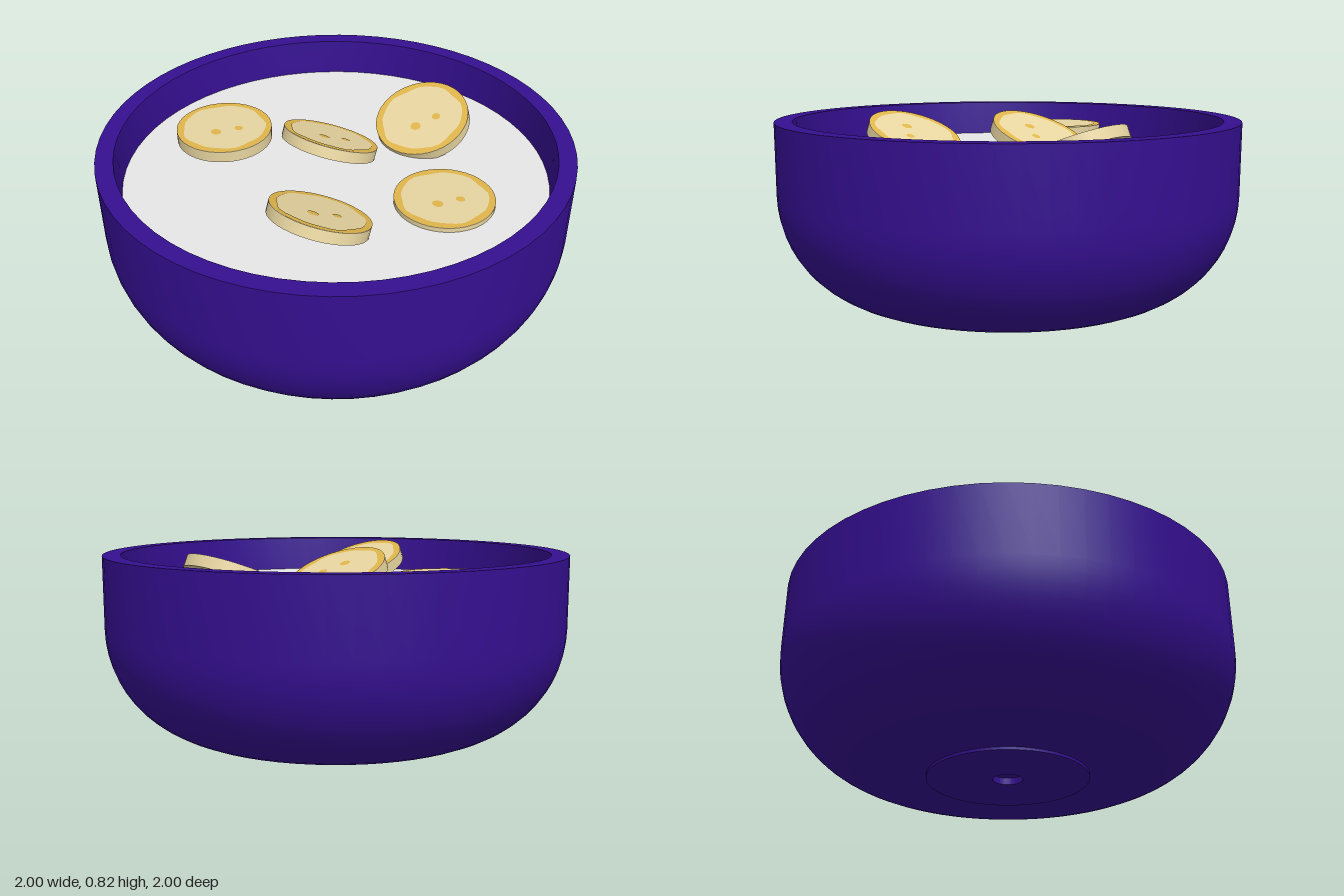
import * as THREE from 'three';
import { toCreasedNormals } from 'three/addons/utils/BufferGeometryUtils.js';

const material = (name, color) => {
  const m = new THREE.MeshStandardMaterial({ color });
  m.name = name;
  return m;
};

export function createModel() {
  const purple = material('purple glaze', 0x350f90);
  const white = material('milk white', 0xf3f3f3);
  const flesh = material('pale fruit', 0xf2dfa8);
  const gold = material('golden peel', 0xdfb64c);

  const model = new THREE.Group();
  model.name = 'cerealBowl';
  const add = (parent, name, geometry, mat) => {
    const mesh = new THREE.Mesh(geometry, mat);
    mesh.name = name;
    parent.add(mesh);
    return mesh;
  };

  // Bowl shell: recessed foot, rounded outer wall, flat rim, inner wall
  const profile = [[0, 0.03], [0.065, 0.03], [0.065, 0], [0.35, 0], [0.35, 0.012]];
  const arc = (cx, cy, rx, ry, from, to) => {
    for (let i = 0; i <= 14; i++) {
      const a = from + (to - from) * i / 14;
      profile.push([cx + rx * Math.cos(a), cy + ry * Math.sin(a)]);
    }
  };
  arc(0.54, 0.49, 0.46, 0.477, -Math.PI / 2, 0);
  profile.push([1, 0.8], [0.925, 0.8], [0.908, 0.64]);
  arc(0.5, 0.5, 0.4, 0.4, 0, -Math.PI / 2);
  profile.push([0, 0.1]);
  const shell = new THREE.LatheGeometry(profile.map(([x, y]) => new THREE.Vector2(x, y)), 64);
  add(model, 'bowl', toCreasedNormals(shell, 0.5), purple);

  // Milk surface
  const milk = add(model, 'milk', new THREE.CircleGeometry(0.918, 32), white);
  milk.rotation.x = -Math.PI / 2;
  milk.position.y = 0.64;

  // Shared slice geometry: disc, wavy peel ring and two seed spots
  const R = 0.21, T = 0.05;
  const disc = new THREE.CylinderGeometry(R, R, T, 40).translate(0, -T / 2, 0);
  const ringShape = new THREE.Shape().absarc(0, 0, R, 0, Math.PI * 2);
  const wave = [];
  for (let i = 0; i < 36; i++) {
    const a = i / 36 * Math.PI * 2;
    const r = 0.181 + 0.004 * Math.sin(5 * a) + 0.003 * Math.cos(9 * a);
    wave.push(new THREE.Vector2(r * Math.cos(a), r * Math.sin(a)));
  }
  ringShape.holes.push(new THREE.Path(wave));
  const ring = new THREE.ShapeGeometry(ringShape, 20).rotateX(-Math.PI / 2).translate(0, 0.002, 0);
  const spot = (x, z, r) => new THREE.CircleGeometry(r, 12).scale(1, 1.1, 1)
    .rotateX(-Math.PI / 2).translate(x, 0.002, z);
  const spots = [spot(-0.055, 0.005, 0.022), spot(0.033, 0.057, 0.018)];

  // Fruit slices: x, top height, z, tilt about z
  const slices = [
    [-0.155, 0.73, -0.52, 0],
    [0.09, 0.735, -0.105, -0.4],
    [0.47, 0.738, 0.105, 0.4],
    [-0.355, 0.73, 0.225, -0.4],
    [0.12, 0.66, 0.485, 0],
  ];
  slices.forEach(([x, y, z, tilt]) => {
    const slice = new THREE.Group();
    slice.name = 'fruitSlice';
    add(slice, 'sliceBody', disc, flesh);
    add(slice, 'peelRing', ring, gold);
    spots.forEach((s) => add(slice, 'seedSpot', s, gold));
    slice.position.set(x, y, z);
    slice.rotation.z = tilt;
    model.add(slice);
  });

  return model;
}
